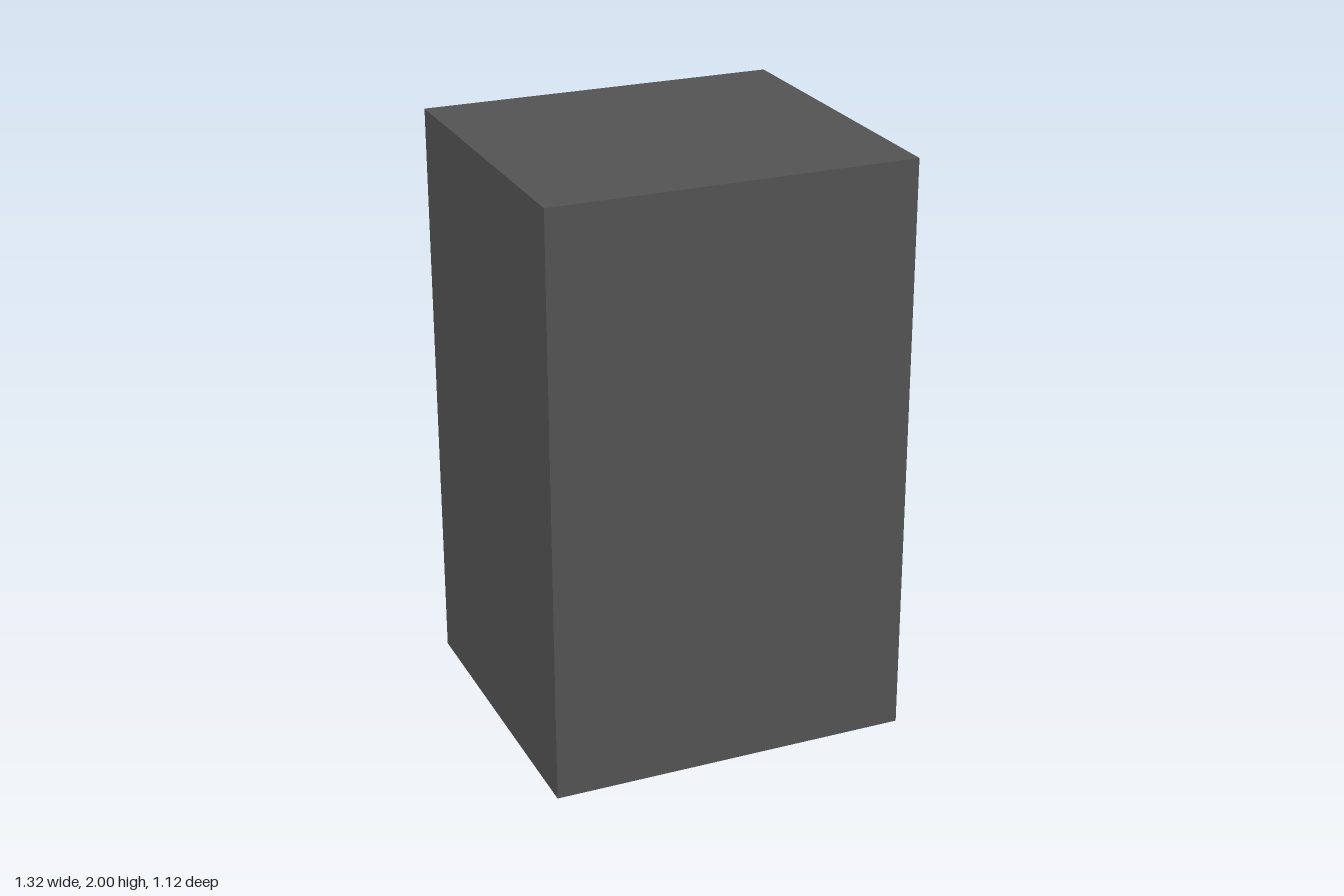
import * as THREE from 'three';

const bodyGrey = new THREE.MeshStandardMaterial({ color: 0x535353 });
bodyGrey.name = 'dark grey body';
const handleGrey = new THREE.MeshStandardMaterial({ color: 0xa2a2a2 });
handleGrey.name = 'light grey handle';

// Box given by its limits in x and y, centred on z = 0
function box(name, x0, x1, y0, y1, depth) {
  const mesh = new THREE.Mesh(new THREE.BoxGeometry(x1 - x0, y1 - y0, depth), bodyGrey);
  mesh.name = name;
  mesh.position.set((x0 + x1) / 2, (y0 + y1) / 2, 0);
  return mesh;
}

// Bar with clipped lower corners and a top that slopes down towards the outer face
function handleGeometry() {
  const half = 0.273, height = 0.047, reach = 0.048, clip = 0.01, drop = 0.016;
  const outline = new THREE.Shape([
    [-half + clip, 0], [half - clip, 0], [half, clip],
    [half, height], [-half, height], [-half, clip],
  ].map(([x, y]) => new THREE.Vector2(x, y)));
  const geometry = new THREE.ExtrudeGeometry(outline, { depth: reach, bevelEnabled: false });
  const p = geometry.attributes.position;
  for (let i = 0; i < p.count; i++) {
    if (p.getZ(i) > reach / 2 && p.getY(i) > height - 0.001) p.setY(i, height - drop);
  }
  geometry.computeVertexNormals();
  return geometry.rotateY(Math.PI / 2);
}

export function createModel() {
  const model = new THREE.Group();
  model.name = 'drawerCabinet';
  model.add(box('cabinetBody', -0.66, 0.573, 0, 2, 1.125));

  // Three drawers, each with its handle, on the +x side
  const handle = handleGeometry();
  const drawers = [['bottom', 0.289, 0.64], ['middle', 0.852, 1.205], ['top', 1.428, 1.778]];
  for (const [place, base, handleBase] of drawers) {
    const drawer = new THREE.Group();
    drawer.name = place + 'Drawer';
    drawer.add(box('drawerFront', 0.573, 0.61, base, base + 0.494, 0.974));
    const grip = new THREE.Mesh(handle, handleGrey);
    grip.name = 'drawerHandle';
    grip.position.set(0.61, handleBase, 0);
    drawer.add(grip);
    model.add(drawer);
  }
  return model;
}
